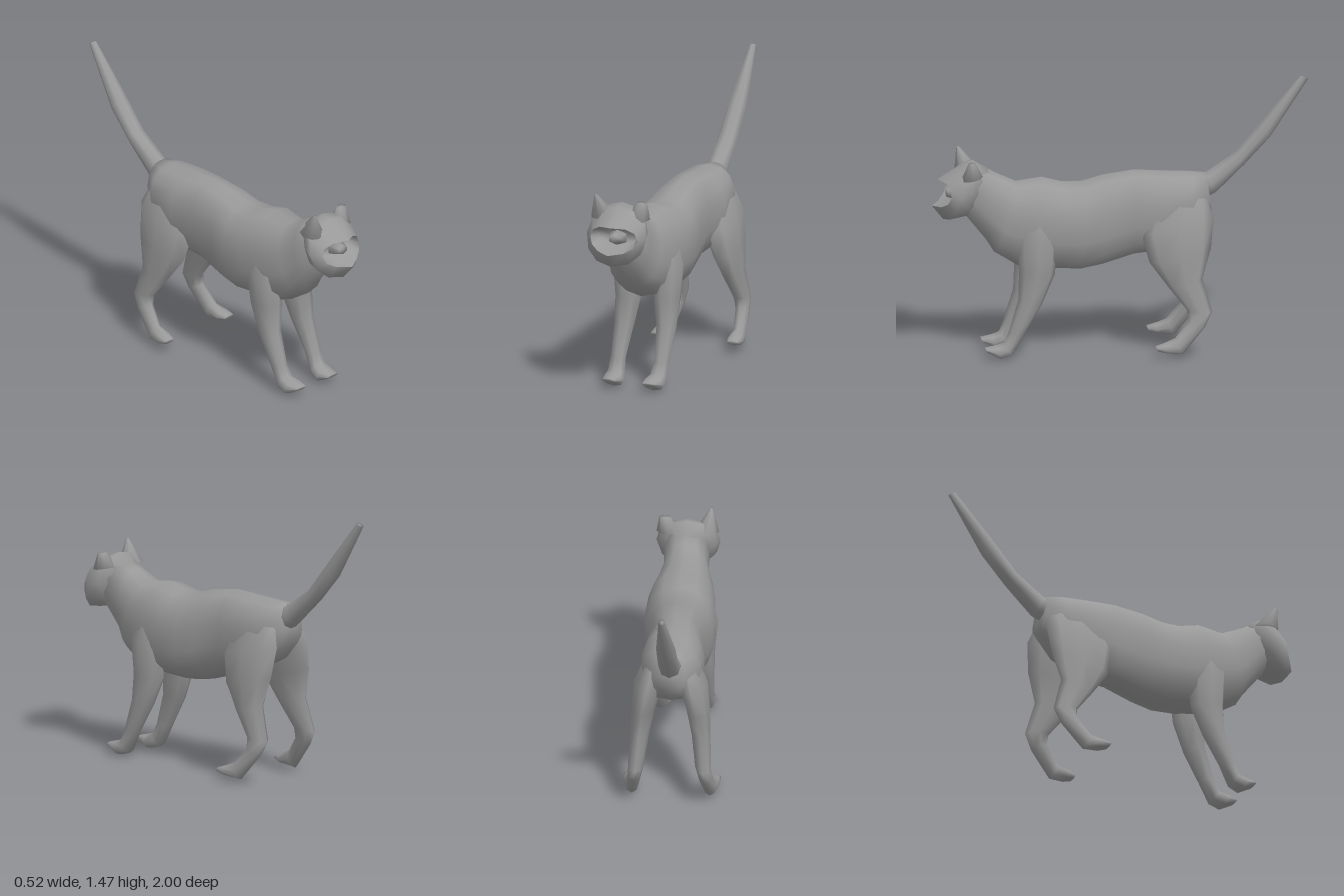
import * as THREE from 'three';

const grey = new THREE.MeshStandardMaterial({ color: 0x999999, side: THREE.DoubleSide });

// Skins a row of rings. Each ring spans two side-profile points:
// [z1, y1, z2, y2, centreX, halfWidth, sideways bow in z]
// power < 1 gives boxier rings, power > 1 more diamond-shaped ones
function loft(name, sections, { sides = 10, power = 1, mirror = 1, caps = [true, true] } = {}) {
  const pos = [], index = [];
  const soft = (v) => Math.sign(v) * Math.abs(v) ** power;
  for (const [z1, y1, z2, y2, cx, rx, bow = 0] of sections) {
    for (let i = 0; i < sides; i++) {
      const a = (i / sides) * Math.PI * 2;
      const c = soft(Math.cos(a)), s = soft(Math.sin(a));
      pos.push(mirror * (cx + rx * s),
        (y1 + y2) / 2 + c * (y1 - y2) / 2,
        (z1 + z2) / 2 + c * (z1 - z2) / 2 + bow * Math.abs(s));
    }
  }
  const last = sections.length - 1;
  for (let r = 0; r < last; r++) {
    for (let i = 0; i < sides; i++) {
      const a = r * sides + i, b = r * sides + (i + 1) % sides;
      index.push(a, b, a + sides, b, b + sides, a + sides);
    }
  }
  [0, last].forEach((r, k) => {
    if (!caps[k]) return;
    const [z1, y1, z2, y2, cx] = sections[r];
    const centre = pos.length / 3;
    pos.push(mirror * cx, (y1 + y2) / 2, (z1 + z2) / 2);
    for (let i = 0; i < sides; i++) {
      const a = r * sides + i, b = r * sides + (i + 1) % sides;
      if (k) index.push(a, b, centre); else index.push(b, a, centre);
    }
  });
  // Turn the skin outwards if the rings ran the other way
  let volume = 0;
  const p = (i) => new THREE.Vector3().fromArray(pos, i * 3);
  const origin = p(0);
  for (let i = 0; i < index.length; i += 3) {
    const [a, b, c] = [0, 1, 2].map((k) => p(index[i + k]).sub(origin));
    volume += a.dot(b.cross(c));
  }
  if (volume < 0) index.reverse();
  const geo = new THREE.BufferGeometry();
  geo.setAttribute('position', new THREE.Float32BufferAttribute(pos, 3));
  geo.setIndex(index);
  geo.computeVertexNormals();
  const mesh = new THREE.Mesh(geo, grey);
  mesh.name = name;
  return mesh;
}

export function createModel() {
  const cat = new THREE.Group();
  cat.name = 'cat';

  // Torso from neck to rump
  cat.add(loft('body', [
    [0.76, 1.04, 0.83, 0.77, -0.01, 0.12],
    [0.66, 0.985, 0.71, 0.62, -0.01, 0.12],
    [0.55, 0.935, 0.67, 0.555, -0.01, 0.15],
    [0.41, 0.955, 0.54, 0.475, -0.005, 0.18],
    [0.30, 0.925, 0.35, 0.46, -0.005, 0.19],
    [0.20, 0.925, 0.22, 0.45, -0.01, 0.185],
    [0.09, 0.957, 0.10, 0.47, -0.01, 0.165],
    [-0.07, 0.98, -0.07, 0.52, -0.01, 0.142],
    [-0.22, 0.97, -0.20, 0.54, -0.005, 0.17],
    [-0.38, 0.96, -0.37, 0.63, -0.005, 0.155],
    [-0.45, 0.955, -0.485, 0.74, -0.005, 0.085],
  ], { sides: 14, power: 0.87 }));

  // Head
  const head = new THREE.Group();
  head.name = 'head';
  const lips = [0.97, 0.96, 1.0, 0.815, -0.005, 0.135, -0.075];
  head.add(loft('skull', [
    [0.70, 1.01, 0.79, 0.78, -0.01, 0.10],
    [0.78, 1.055, 0.83, 0.757, -0.01, 0.155],
    [0.84, 1.04, 0.94, 0.74, -0.01, 0.17, -0.03],
    lips,
  ], { sides: 12, power: 0.9, caps: [true, false] }));
  // Hollow behind the lips, with a small muzzle inside
  head.add(loft('mouth', [
    lips,
    [0.87, 0.93, 0.87, 0.85, -0.005, 0.11, -0.02],
  ], { sides: 12, power: 0.9, caps: [false, true] }));
  head.add(loft('muzzle', [
    [0.86, 0.93, 0.86, 0.84, 0, 0.055],
    [0.925, 0.91, 0.925, 0.865, 0, 0.032],
  ], { sides: 6 }));
  // Upright right ear and folded left ear
  head.add(loft('rightEar', [
    [0.87, 0.97, 0.74, 0.99, -0.11, 0.068],
    [0.855, 1.105, 0.84, 1.10, -0.135, 0.006],
  ], { sides: 8 }));
  head.add(loft('leftEar', [
    [0.86, 0.97, 0.74, 0.99, 0.09, 0.065],
    [0.82, 1.062, 0.78, 1.07, 0.108, 0.032],
  ], { sides: 8 }));
  cat.add(head);

  // Raised tail
  cat.add(loft('tail', [
    [-0.36, 0.945, -0.42, 0.80, -0.005, 0.07],
    [-0.46, 0.958, -0.51, 0.845, -0.005, 0.058],
    [-0.62, 1.065, -0.66, 0.99, -0.007, 0.054],
    [-0.74, 1.21, -0.80, 1.14, -0.007, 0.052],
    [-0.96, 1.47, -1.0, 1.45, 0, 0.018],
  ], { sides: 8 }));

  // Legs with feet, mirrored across the body
  for (const [side, mirror] of [['left', 1], ['right', -1]]) {
    cat.add(loft(side + 'FrontLeg', [
      [0.52, 0.84, 0.36, 0.84, 0.08, 0.06],
      [0.56, 0.65, 0.34, 0.64, 0.115, 0.083],
      [0.55, 0.47, 0.36, 0.45, 0.11, 0.07],
      [0.555, 0.32, 0.43, 0.29, 0.12, 0.055],
      [0.61, 0.14, 0.52, 0.14, 0.125, 0.043],
      [0.63, 0.09, 0.585, 0.02, 0.12, 0.05],
      [0.67, 0.075, 0.65, 0, 0.115, 0.06],
      [0.73, 0.06, 0.72, 0.04, 0.115, 0.04],
    ], { mirror, sides: 8 }));
    cat.add(loft(side + 'HindLeg', [
      [-0.18, 0.86, -0.43, 0.88, 0.08, 0.05],
      [-0.10, 0.66, -0.485, 0.74, 0.118, 0.078],
      [-0.14, 0.51, -0.467, 0.58, 0.145, 0.063],
      [-0.24, 0.375, -0.42, 0.42, 0.163, 0.05],
      [-0.335, 0.255, -0.47, 0.24, 0.178, 0.042],
      [-0.34, 0.20, -0.43, 0.16, 0.187, 0.037],
      [-0.27, 0.11, -0.31, 0.02, 0.207, 0.035],
      [-0.21, 0.085, -0.22, 0.03, 0.214, 0.047],
      [-0.165, 0.07, -0.175, 0.045, 0.22, 0.035],
    ], { mirror, sides: 8 }));
  }
  return cat;
}
